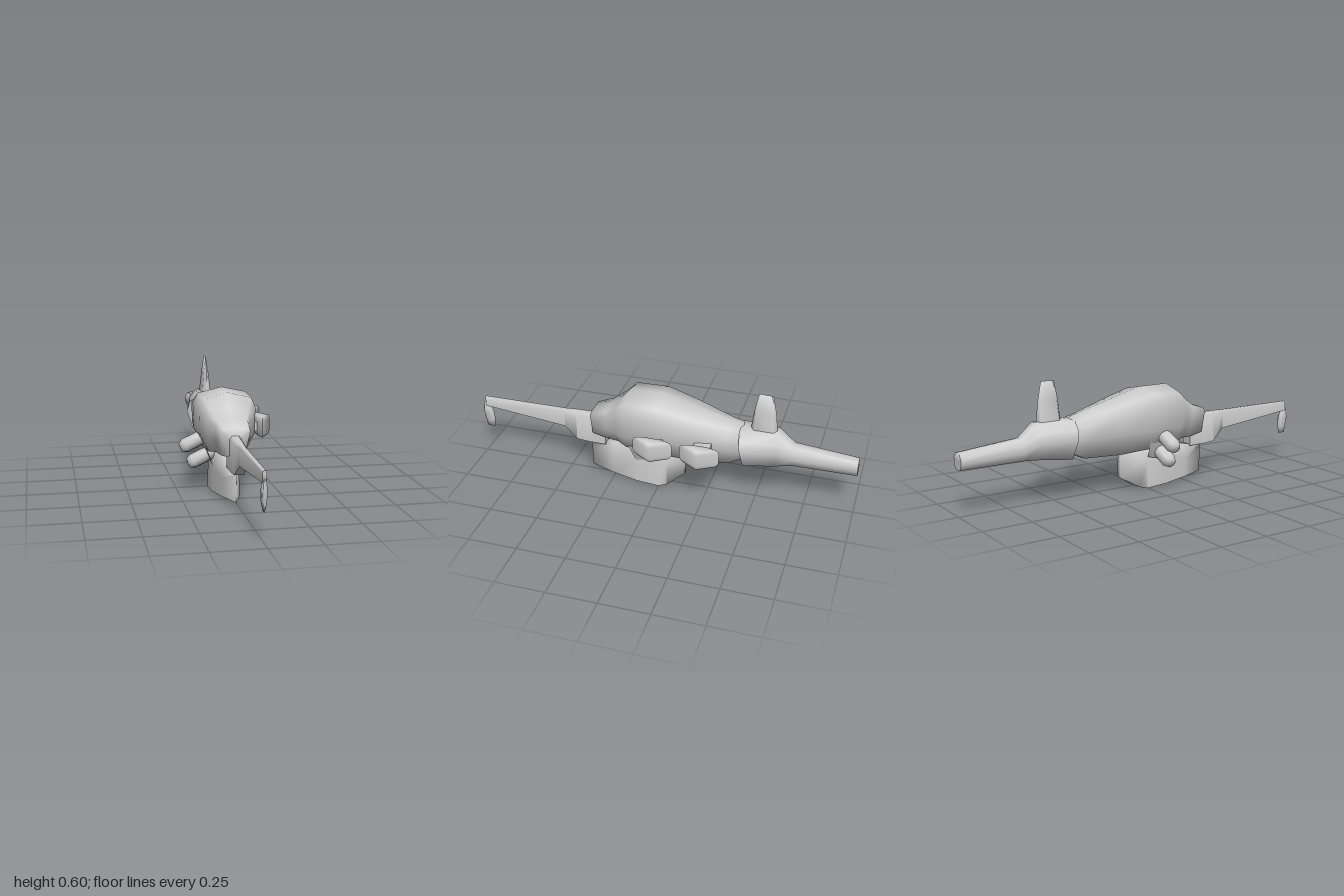
import * as THREE from 'three';
import { toCreasedNormals } from 'three/addons/utils/BufferGeometryUtils.js';

const material = new THREE.MeshStandardMaterial({ color: 0xcccccc });
const doubleSided = new THREE.MeshStandardMaterial({ color: 0xcccccc, side: THREE.DoubleSide });

// Skin a list of rings (arrays of [x, y, z]) and close both ends
function loft(rings, crease = 1.5) {
  const n = rings[0].length, pos = rings.flat(2), index = [];
  for (let i = 0; i < rings.length - 1; i++) {
    for (let j = 0; j < n; j++) {
      const a = i * n + j, b = i * n + (j + 1) % n;
      index.push(a, b, a + n, b, b + n, a + n);
    }
  }
  [0, rings.length - 1].forEach((r, end) => {
    const c = pos.length / 3;
    for (let k = 0; k < 3; k++) pos.push(rings[r].reduce((s, p) => s + p[k], 0) / n);
    for (let j = 0; j < n; j++) {
      const a = r * n + j, b = r * n + (j + 1) % n;
      if (end) index.push(c, a, b); else index.push(c, b, a);
    }
  });
  const g = new THREE.BufferGeometry();
  g.setAttribute('position', new THREE.Float32BufferAttribute(pos, 3));
  g.setIndex(index);
  return toCreasedNormals(g, crease);
}

// Mirrored cross-section at z: half outline from top centre to bottom centre
function section(z, half, slant = 0) {
  const other = half.filter(p => p[0] > 0).reverse().map(([x, y]) => [-x, y]);
  return [...half, ...other].map(([x, y]) => [x, y, z + (y - 0.21) * slant]);
}

// Flat six-sided blade cross-section at height y
const blade = (y, z, hx, hz) => [[0, y, z - hz], [hx, y, z - hz * 0.75], [hx, y, z + hz * 0.75],
  [0, y, z + hz], [-hx, y, z + hz * 0.75], [-hx, y, z - hz * 0.75]];

function add(parent, name, geometry, mat = material) {
  const mesh = new THREE.Mesh(geometry, mat);
  mesh.name = name;
  parent.add(mesh);
  return mesh;
}

export function createModel() {
  const model = new THREE.Group();
  const body = new THREE.Group();
  body.name = 'body';
  body.position.x = -0.012;
  model.add(body);

  // Main hull, its nose narrowing downwards to a beak over the boom
  add(body, 'hull', loft([
    section(0.364, [[0, 0.378], [0.055, 0.376], [0.073, 0.365], [0.058, 0.3], [0.044, 0.245], [0, 0.25]]),
    section(0.28, [[0, 0.405], [0.075, 0.403], [0.085, 0.375], [0.076, 0.3], [0.052, 0.23], [0, 0.25]]),
    section(0.22, [[0, 0.455], [0.095, 0.443], [0.112, 0.4], [0.108, 0.31], [0.068, 0.235], [0, 0.245]]),
    section(0.165, [[0, 0.517], [0.118, 0.488], [0.14, 0.44], [0.137, 0.31], [0.094, 0.225], [0, 0.23]]),
    section(0, [[0, 0.517], [0.122, 0.49], [0.147, 0.44], [0.143, 0.31], [0.094, 0.21], [0, 0.21]]),
    section(-0.17, [[0, 0.473], [0.1, 0.45], [0.127, 0.41], [0.125, 0.31], [0.08, 0.2], [0, 0.2]]),
    section(-0.36, [[0, 0.423], [0.06, 0.405], [0.092, 0.37], [0.092, 0.3], [0.06, 0.205], [0, 0.2]]),
    section(-0.43, [[0, 0.403], [0.05, 0.393], [0.08, 0.36], [0.085, 0.3], [0.055, 0.24], [0, 0.235]]),
  ]));

  // Pointed side skirts continuing the hull's lower flanks
  const outline = [[0.2, 0.28], [0.2, 0.225], [0.18, 0.24], [0.15, 0.235], [0.125, 0.135],
    [0, 0.165], [-0.01, 0.24], [-0.01, 0.28]];
  for (const side of [-1, 1]) {
    const g = new THREE.ShapeGeometry(new THREE.Shape(outline.map(p => new THREE.Vector2(...p))));
    const p = g.attributes.position;
    for (let i = 0; i < p.count; i++) {
      const z = p.getX(i), y = p.getY(i);
      p.setXYZ(i, side * (0.063 + (y - 0.135) * 0.46 - Math.max(0, z - 0.14) * 0.7), y, z);
    }
    g.computeVertexNormals();
    add(body, side > 0 ? 'leftSkirt' : 'rightSkirt', g, doubleSided);
  }

  // Keel, pointed at the prow and at the stern, narrower towards the top
  const keel = (z, w, top, low, mid) =>
    section(z, [[0, top], [w * 0.7, top], [w * 0.95, (top + low) / 2 + 0.01], [w, low], [0, mid]]);
  add(body, 'keel', loft([
    keel(0.385, 0.002, 0.165, 0.022, 0.02),
    keel(0.26, 0.042, 0.19, 0.016, 0.014),
    keel(0.12, 0.068, 0.24, 0.006, 0.008),
    keel(0, 0.074, 0.24, 0.001, 0.002),
    keel(-0.04, 0.062, 0.24, 0.01, 0.006),
    keel(-0.125, 0.012, 0.21, 0.062, 0.06),
  ]));

  // Long forward boom
  const boom = (z, w, top, low, rise) =>
    section(z, [[0, top], [w * 0.55, top], [w, top - rise], [w, low], [0, low]]);
  add(body, 'frontBoom', loft([
    boom(0.98, 0.01, 0.335, 0.283, 0.008),
    boom(0.53, 0.014, 0.336, 0.237, 0.01),
    boom(0.46, 0.026, 0.337, 0.178, 0.012),
    boom(0.4, 0.028, 0.338, 0.174, 0.014),
    boom(0.3, 0.03, 0.355, 0.174, 0.018),
  ]));
  add(body, 'boomTip', loft([
    blade(0.295, 0.978, 0.006, 0.02),
    blade(0.24, 0.97, 0.011, 0.03),
    blade(0.19, 0.965, 0.008, 0.027),
    blade(0.155, 0.965, 0.002, 0.02),
  ]));

  // Flared collar narrowing into the tail boom
  add(body, 'tail', loft([
    section(-0.44, [[0, 0.405], [0.06, 0.397], [0.1, 0.36], [0.113, 0.31], [0.08, 0.215], [0, 0.207]], 0.15),
    section(-0.6, [[0, 0.405], [0.035, 0.4], [0.07, 0.36], [0.08, 0.31], [0.06, 0.232], [0, 0.23]]),
    section(-0.68, [[0, 0.34], [0.028, 0.335], [0.045, 0.31], [0.045, 0.27], [0.03, 0.231], [0, 0.23]]),
    section(-1, [[0, 0.313], [0.022, 0.308], [0.039, 0.285], [0.039, 0.26], [0.026, 0.231], [0, 0.23]]),
  ]));
  const fin = add(body, 'fin', loft([
    blade(0.596, -0.525, 0.001, 0.036),
    blade(0.5, -0.525, 0.014, 0.055),
    blade(0.4, -0.525, 0.024, 0.067),
  ]));
  fin.position.x = 0.004;

  // Arrow-shaped pods on stubs, left side
  const arrow = [[0.165, -0.045], [0.18, -0.1], [0.24, 0], [0.18, 0.1], [0.165, 0.045]];
  const layers = [[0.363, 0.8], [0.355, 0.93], [0.34, 1], [0.285, 1], [0.27, 0.93], [0.262, 0.8]];
  [0, -0.24].forEach((cz, i) => {
    const pod = new THREE.Group();
    pod.name = i ? 'rearLeftPod' : 'frontLeftPod';
    pod.position.z = cz - 0.003;
    model.add(pod);
    add(pod, 'podShell', loft(layers.map(([y, s]) =>
      arrow.map(([x, z]) => [0.205 + (x - 0.205) * s, y, z * s]))));
    const stub = add(pod, 'podStub', new THREE.BoxGeometry(0.1, 0.044, 0.085));
    stub.position.set(0.125, 0.312, 0);
  });

  // Two tilted canisters, right side
  const profile = [[0, -0.07], [0.036, -0.07], [0.038, 0.045], [0.026, 0.069], [0, 0.072]]
    .map(p => new THREE.Vector2(...p));
  [[-0.17, 0.256], [-0.132, 0.174]].forEach(([x, y], i) => {
    const can = add(model, i ? 'lowerCanister' : 'upperCanister',
      toCreasedNormals(new THREE.LatheGeometry(profile, 8), 1.2));
    can.position.set(x, y, 0.07);
    can.rotation.z = THREE.MathUtils.degToRad(115);
  });

  return model;
}
